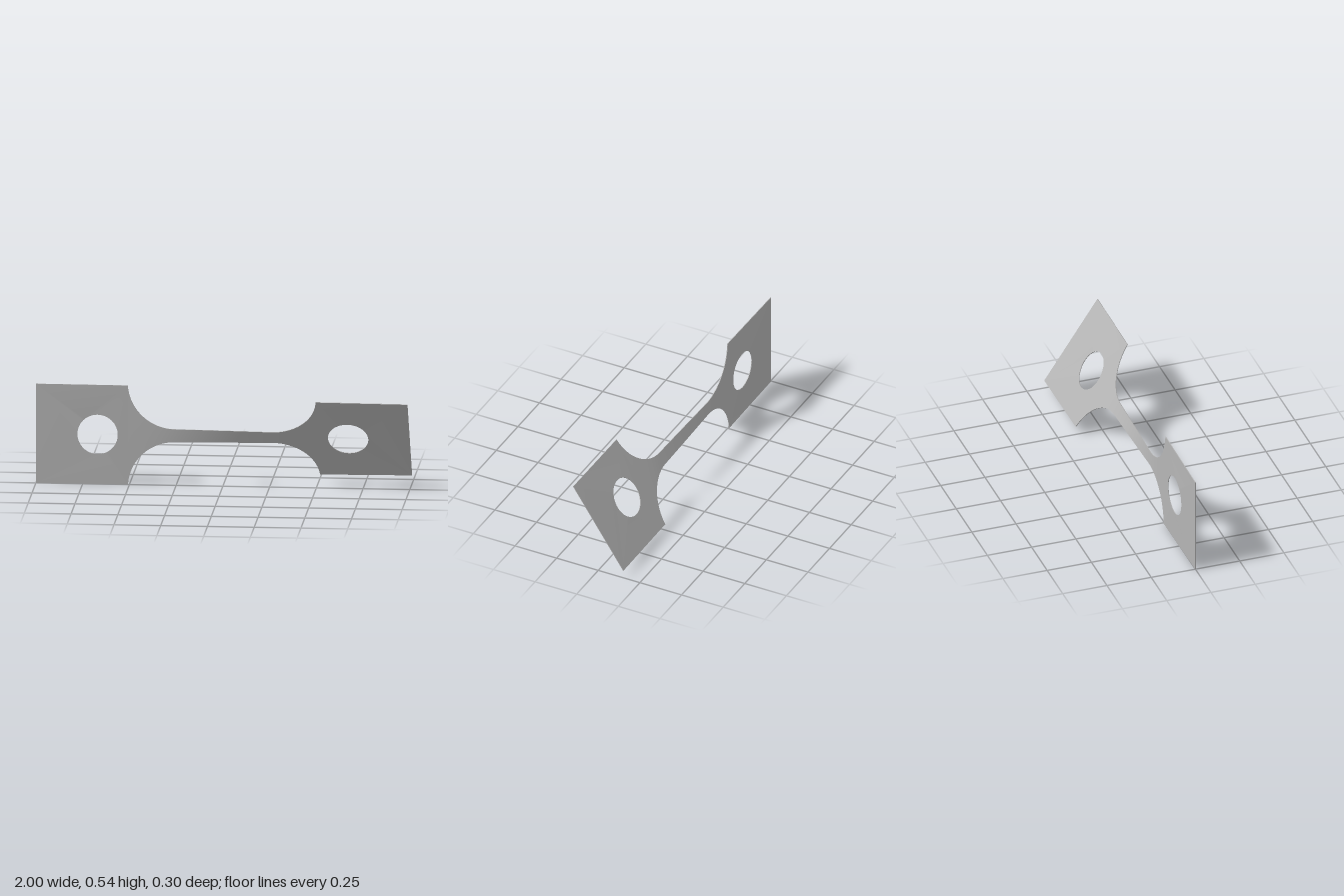
import * as THREE from 'three';
import { toCreasedNormals } from 'three/addons/utils/BufferGeometryUtils.js';

const HALF_H = 0.271;      // half height of the end pads
const BAR = 0.036;         // half height of the slim bar
const FILLET = 0.25;       // fillet radius
const FILLET_X = 0.258;    // where the fillets meet the bar
const PAD_X = 0.508;       // inner edge of the pads
const THICK = 0.004;
const TWIST = THREE.MathUtils.degToRad(33.7);

// Half height of the strip at x
function halfHeight(x) {
  const a = Math.abs(x);
  if (a >= PAD_X - 1e-4) return HALF_H;
  if (a <= FILLET_X) return BAR;
  const d = Math.min(a - FILLET_X, FILLET);
  return Math.min(HALF_H, BAR + FILLET - Math.sqrt(FILLET * FILLET - d * d));
}

// Accumulated twist: narrow sections turn more than wide ones
const STEPS = 800;
const turn = [0];
for (let i = 0; i < STEPS; i++) {
  const x = -1 + (2 * (i + 0.5)) / STEPS;
  turn.push(turn[i] + Math.pow(halfHeight(x), -1.5));
}
function angleAt(x) {
  const f = THREE.MathUtils.clamp((x + 1) / 2, 0, 1) * STEPS;
  const i = Math.min(STEPS - 1, Math.floor(f));
  return (TWIST * THREE.MathUtils.lerp(turn[i], turn[i + 1], f - i)) / turn[STEPS];
}

// Rotates every vertex about the long axis by the local twist
function twist(geometry) {
  const p = geometry.attributes.position;
  for (let i = 0; i < p.count; i++) {
    const x = p.getX(i), y = p.getY(i), z = p.getZ(i), a = angleAt(x);
    p.setXYZ(i, x, y * Math.cos(a) - z * Math.sin(a), y * Math.sin(a) + z * Math.cos(a));
  }
  geometry.computeVertexNormals();
  return geometry;
}

// Rectangular grip plate with a round hole
function padGeometry(side) {
  const x0 = side > 0 ? PAD_X : -1, x1 = side > 0 ? 1 : -PAD_X;
  const shape = new THREE.Shape();
  shape.moveTo(x0, -HALF_H);
  shape.lineTo(x1, -HALF_H);
  shape.lineTo(x1, HALF_H);
  shape.lineTo(x0, HALF_H);
  shape.closePath();
  const hole = new THREE.Path();
  hole.absarc(side * 0.67, 0, 0.108, 0, Math.PI * 2, true);
  shape.holes.push(hole);
  const g = new THREE.ExtrudeGeometry(shape, { depth: THICK, bevelEnabled: false, curveSegments: 32 });
  g.translate(0, 0, -THICK / 2);
  return toCreasedNormals(twist(g), 0.6);
}

// Slim bar with fillets flaring out to both pads
function neckGeometry() {
  const g = new THREE.BoxGeometry(2, 2, THICK, 140, 4, 1);
  const p = g.attributes.position;
  for (let i = 0; i < p.count; i++) {
    const x = PAD_X * Math.sin((p.getX(i) * Math.PI) / 2);
    p.setX(i, x);
    p.setY(i, p.getY(i) * halfHeight(x));
  }
  return twist(g);
}

export function createModel() {
  const metal = new THREE.MeshStandardMaterial({ color: 0xb4b4b4 });
  metal.name = 'grey metal';

  const group = new THREE.Group();
  group.name = 'twistedTestStrip';
  const add = (name, geometry) => {
    const mesh = new THREE.Mesh(geometry, metal);
    mesh.name = name;
    mesh.position.y = HALF_H;
    group.add(mesh);
  };
  add('rightPad', padGeometry(-1));
  add('leftPad', padGeometry(1));
  add('neck', neckGeometry());
  return group;
}
